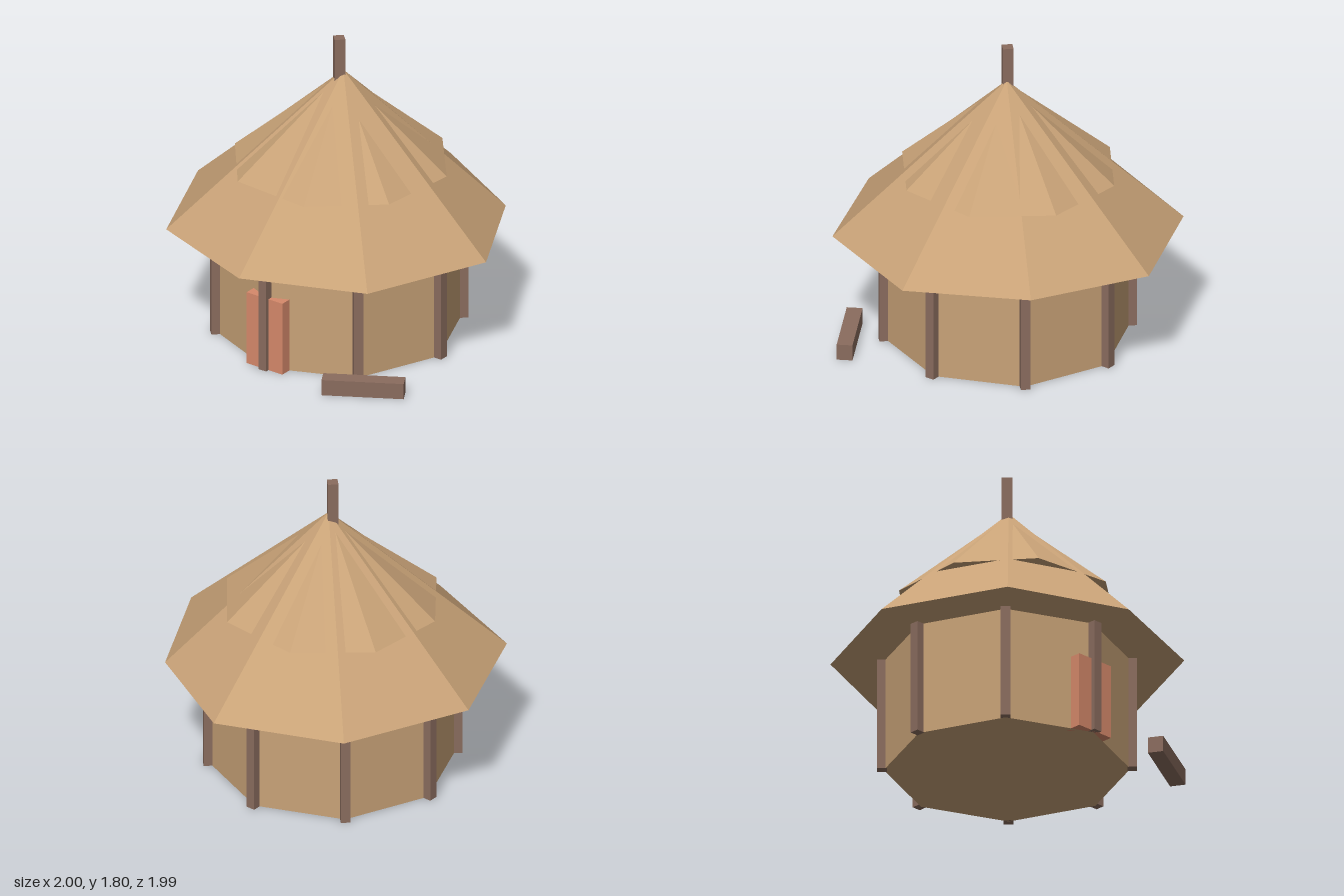
import * as THREE from 'three';

const mat = (name, color) => {
  const m = new THREE.MeshStandardMaterial({ color, flatShading: true });
  m.name = name;
  return m;
};

// Closed pyramid with a slightly uneven rim, listed as [x, z] from the back round to the right
function thatchCone(rim, baseY, apex) {
  const pos = [];
  const n = rim.length;
  for (let i = 0; i < n; i++) {
    const [ax, az] = rim[i];
    const [bx, bz] = rim[(i + 1) % n];
    pos.push(bx, baseY, bz, ax, baseY, az, ...apex);
    pos.push(ax, baseY, az, bx, baseY, bz, apex[0], baseY, apex[2]);
  }
  const g = new THREE.BufferGeometry();
  g.setAttribute('position', new THREE.Float32BufferAttribute(pos, 3));
  g.computeVertexNormals();
  return g;
}

export function createModel() {
  const hut = new THREE.Group();
  hut.name = 'roundHut';
  const straw = mat('straw', 0xc8a277);
  const timber = mat('timber', 0x8a6c5e);
  const clay = mat('clay', 0xd6896b);
  const CX = -0.012, CZ = 0.02; // centre of the walls

  const add = (name, geometry, material, x, y, z, turn = 0) => {
    const m = new THREE.Mesh(geometry, material);
    m.name = name;
    m.position.set(x, y, z);
    m.rotation.y = turn;
    hut.add(m);
    return m;
  };

  // Eight-sided wall with its corners behind the posts
  add('wall', new THREE.CylinderGeometry(0.695, 0.695, 0.68, 8), straw, CX, 0.34, CZ);

  // Posts at the wall corners
  const postGeometry = new THREE.BoxGeometry(0.055, 0.69, 0.055);
  for (let i = 0; i < 8; i++) {
    const a = (i * Math.PI) / 4;
    add('post', postGeometry, timber, CX + Math.sin(a) * 0.705, 0.345, CZ + Math.cos(a) * 0.705, a);
  }

  // Wide lower roof
  const eaves = [[0.02, -1], [0.66, -0.65], [1, 0], [0.7, 0.72], [0, 0.99], [-0.7, 0.73], [-1, 0.02], [-0.69, -0.71]];
  add('lowerRoof', thatchCone(eaves, 0.675, [0.01, 1.6, 0.01]), straw, 0, 0, 0);

  // Upper thatch layer, turned half a side so its corners poke through
  const cap = [[-0.2, -0.59], [0.29, -0.55], [0.6, -0.17], [0.55, 0.31], [0.18, 0.62], [-0.31, 0.58], [-0.61, 0.2], [-0.57, -0.28]];
  add('upperRoof', thatchCone(cap, 1.03, [0.0, 1.58, 0.01]), straw, 0, 0, 0);

  // Roof pole
  add('roofPole', new THREE.BoxGeometry(0.06, 0.3, 0.06), timber, CX, 1.65, CZ, Math.PI / 4);

  // Door behind the front post
  add('door', new THREE.BoxGeometry(0.25, 0.445, 0.1), clay, CX, 0.2225, 0.68);

  // Low bench beside the door
  add('bench', new THREE.BoxGeometry(0.466, 0.095, 0.09), timber, 0.625, 0.0475, 0.655, Math.PI / 6);

  return hut;
}
